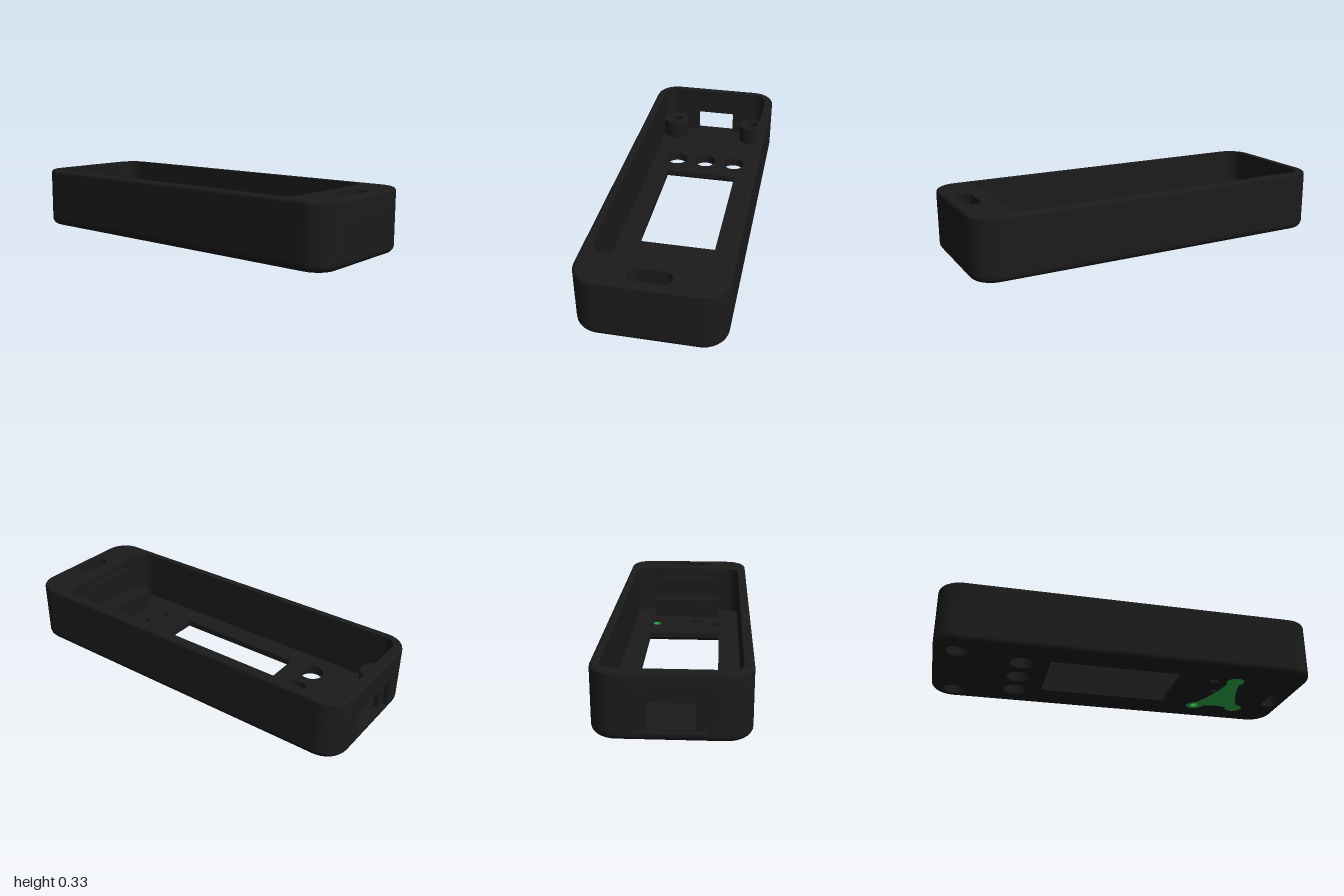
import * as THREE from 'three';

const H = 0.33, FLOOR = 0.05, POST = 0.155, S = 8;
const RECESS = { h: 0.165, y0: 0.045, y1: 0.195 };  // shallow outer step of the port, -x end
const PORT = { h: 0.112, y0: FLOOR, y1: 0.18 };     // through opening of the port
const CATCH = { h: 0.19, y0: 0.265, y1: 0.295 };    // lid groove in the +x cavity wall
const PORT_I = 2 * (S + 1), CATCH_I = 4 * (S + 1) + 2;

// Rounded rectangle as [x, z] points, with extra points beside the end cuts
function roundRect(x0, x1, hz, r, portH) {
  const pts = [];
  const corner = (cx, cz, a) => {
    for (let i = 0; i <= S; i++) {
      const t = a + (i / S) * Math.PI / 2;
      pts.push([cx + r * Math.cos(t), cz + r * Math.sin(t)]);
    }
  };
  corner(x1 - r, hz - r, 0);
  corner(x0 + r, hz - r, Math.PI / 2);
  pts.push([x0, portH], [x0, -portH]);
  corner(x0 + r, -hz + r, Math.PI);
  corner(x1 - r, -hz + r, Math.PI * 1.5);
  pts.push([x1, -CATCH.h], [x1, CATCH.h]);
  return pts;
}

const circle = (x, z, r, n = 32) => Array.from({ length: n }, (_, i) => {
  const a = (i / n) * Math.PI * 2;
  return [x + r * Math.cos(a), z + r * Math.sin(a)];
});

// Skin between closed rings of [x, y, z] points
function loft(rings, outward, skip = () => false) {
  const n = rings[0].length, idx = [];
  for (let k = 0; k < rings.length - 1; k++) {
    for (let i = 0; i < n; i++) {
      if (skip(i, rings[k][i][1], rings[k + 1][i][1])) continue;
      const a = k * n + i, b = k * n + (i + 1) % n, c = a + n, d = b + n;
      if (outward) idx.push(a, c, b, b, c, d);
      else idx.push(a, b, c, b, d, c);
    }
  }
  const g = new THREE.BufferGeometry();
  g.setAttribute('position', new THREE.Float32BufferAttribute(rings.flat(2), 3));
  g.setIndex(idx);
  g.computeVertexNormals();
  return g;
}

// The same skin with hard edges
function hardLoft(rings) {
  const g = loft(rings, false).toNonIndexed();
  g.computeVertexNormals();
  return g;
}

const at = (pts, y) => pts.map(([x, z]) => [x, y, z]);

// Upright wall around an outline
const wall = (pts, y0, y1, outward) => loft([at(pts, y0), at(pts, y1)], outward);

// Flat horizontal face with holes
function flat(pts, holes, y, up) {
  const v = (list) => list.map(([x, z]) => new THREE.Vector2(x, up ? -z : z));
  const s = new THREE.Shape(v(pts));
  s.holes = holes.map((h) => new THREE.Path(v(h)));
  return new THREE.ShapeGeometry(s).rotateX(up ? -Math.PI / 2 : Math.PI / 2).translate(0, y, 0);
}

// Upright rectangle across an end wall, and its horizontal counterpart
const endRect = (x, { h, y0, y1 }) => [[x, y0, -h], [x, y0, h], [x, y1, h], [x, y1, -h]];
const rect = (x0, x1, hz) => [[x0, -hz], [x1, -hz], [x1, hz], [x0, hz]];

export function createModel() {
  const group = new THREE.Group();
  const black = new THREE.MeshStandardMaterial({ color: 0x1b1b1b, side: THREE.DoubleSide });
  black.name = 'black plastic';
  const green = new THREE.MeshStandardMaterial({ color: 0x33b552, side: THREE.DoubleSide });
  green.name = 'green inlay';
  const add = (name, geometry, material = black) => {
    const m = new THREE.Mesh(geometry, material);
    m.name = name;
    group.add(m);
  };

  // Outlines and holes
  const outer = (inset) => roundRect(-1 + inset, 1 - inset, 0.368 - inset, 0.125 - inset, RECESS.h);
  const cavity = roundRect(-0.95, 0.785, 0.32, 0.07, PORT.h);
  const slot = [];
  for (let i = 0; i <= 24; i++) {
    const a = (i / 24) * Math.PI;
    slot.push([0.912 + 0.044 * Math.cos(a), 0.063 + 0.044 * Math.sin(a)]);
  }
  slot.push(...slot.map(([x, z]) => [1.824 - x, -z]));
  const screen = rect(-0.4, 0.32, 0.205), screenBevel = rect(-0.422, 0.342, 0.227);
  const buttons = [-0.178, 0, 0.178].map((z) => circle(-0.55, z, 0.062));
  const ledHole = circle(0.495, -0.178, 0.025);
  const smallHoles = [circle(0.535, 0.05, 0.022), circle(0.495, 0.178, 0.025)];
  const screws = [-0.248, 0.248].map((z) => ({
    hole: circle(-0.88, z, 0.033), bore: circle(-0.88, z, 0.056), post: circle(-0.88, z, 0.078),
  }));
  const plainHoles = [...buttons, ledHole, ...smallHoles];

  // Outer shell with rounded lower and upper edges
  const rB = 0.038, rT = 0.018, profile = [];
  for (let i = 0; i <= 6; i++) {
    const a = (i / 6) * Math.PI / 2;
    profile.push([rB * (1 - Math.sin(a)), rB * (1 - Math.cos(a))]);
  }
  profile.push([0, RECESS.y0], [0, RECESS.y1]);
  for (let i = 0; i <= 4; i++) {
    const a = (i / 4) * Math.PI / 2;
    profile.push([rT * (1 - Math.cos(a)), H - rT + rT * Math.sin(a)]);
  }
  const inCut = (c, ya, yb) => ya >= c.y0 - 1e-6 && yb <= c.y1 + 1e-6;
  add('outerShell', loft(profile.map(([inset, y]) => at(outer(inset), y)), true,
    (i, ya, yb) => i === PORT_I && inCut(RECESS, ya, yb)));
  add('rim', flat(outer(rT), [cavity, slot], H, true));
  add('underside', flat(outer(rB),
    [screenBevel, ...plainHoles, ...screws.map((s) => s.bore), slot], 0, false));

  // Cavity
  const levels = [FLOOR, PORT.y1, CATCH.y0, CATCH.y1, H];
  add('cavityWall', loft(levels.map((y) => at(cavity, y)), false, (i, ya, yb) =>
    (i === PORT_I && inCut(PORT, ya, yb)) || (i === CATCH_I && inCut(CATCH, ya, yb))));
  add('cavityFloor', flat(cavity, [screen, ...plainHoles, ...screws.map((s) => s.hole)], FLOOR, true));

  // Stepped port in the end wall and lid groove opposite
  add('portOpening', hardLoft([endRect(-1, RECESS), endRect(-0.975, RECESS),
    endRect(-0.975, PORT), endRect(-0.95, PORT)]));
  add('lidGroove', hardLoft([endRect(0.785, CATCH), endRect(0.82, CATCH)]));
  add('lidGrooveBack', new THREE.PlaneGeometry(2 * CATCH.h, CATCH.y1 - CATCH.y0)
    .rotateY(-Math.PI / 2).translate(0.82, (CATCH.y0 + CATCH.y1) / 2, 0));

  // Hole walls, with a bevel under the screen window
  add('strapSlot', wall(slot, 0, H, false));
  add('screenWindow', hardLoft([at(screenBevel, 0), at(screen, 0.022), at(screen, FLOOR)]));
  buttons.forEach((b) => add('buttonHole', wall(b, 0, FLOOR, false)));
  smallHoles.forEach((b) => add('smallHole', wall(b, 0, FLOOR, false)));
  add('lightHole', wall(ledHole, 0, FLOOR, false), green);

  // Screw posts, counterbored from below
  const boreTop = 0.06;
  screws.forEach(({ hole, bore, post }) => {
    add('screwPost', wall(post, FLOOR, POST, true));
    add('screwPostTop', flat(post, [hole], POST, true));
    add('screwHole', wall(hole, boreTop, POST, false));
    add('screwBore', wall(bore, 0, boreTop, false));
    add('screwSeat', flat(bore, [hole], boreTop, false));
  });

  // Support block across the cavity floor
  add('supportBlock', new THREE.BoxGeometry(0.108, 0.11, 0.4).translate(0.692, FLOOR + 0.055, 0));

  // Green inlay on the underside: three round pads joined by a web with slightly hollow sides
  const pads = [[0.73, -0.17], [0.495, -0.178], [0.605, 0.195]], mid = [0.61, -0.05];
  const yInlay = -0.001;
  pads.forEach(([x, z], i) =>
    add('inlayPad', flat(circle(x, z, 0.048), i === 1 ? [ledHole] : [], yInlay, false), green));
  const ends = pads.map(([x, z]) => {
    const dx = mid[0] - x, dz = mid[1] - z, l = Math.hypot(dx, dz);
    const px = x + dx / l * 0.03, pz = z + dz / l * 0.03;
    return [1, -1].map((s) => [px - s * dz / l * 0.034, pz + s * dx / l * 0.034]);
  });
  // Order each pad's two ends so that the outline runs round the middle
  const turn = (p, q) => (p[0] - mid[0]) * (q[1] - mid[1]) - (p[1] - mid[1]) * (q[0] - mid[0]);
  const sense = Math.sign(turn(pads[0], pads[1]));
  ends.forEach((e) => { if (turn(e[0], e[1]) * sense < 0) e.reverse(); });
  const web = new THREE.Shape();
  web.moveTo(...ends[0][0]);
  ends.forEach(([, b], i) => {
    const next = ends[(i + 1) % 3][0];
    const c = [0, 1].map((k) => (b[k] + next[k]) / 2 * 0.72 + mid[k] * 0.28);
    web.lineTo(...b);
    web.quadraticCurveTo(...c, ...next);
  });
  add('inlayWeb', flat(web.getPoints(10).map((p) => [p.x, p.y]), [], yInlay, false), green);

  return group;
}
